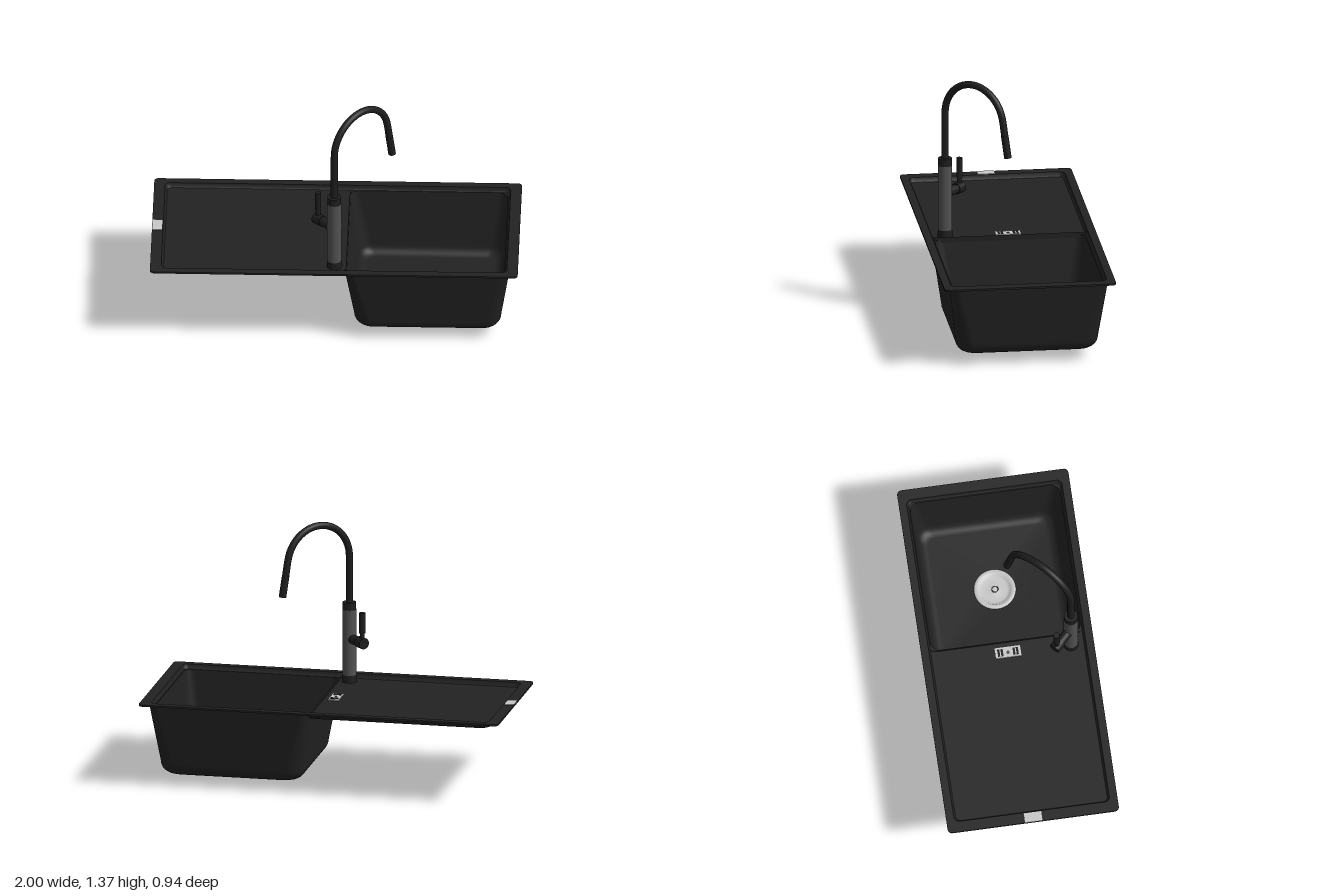
import * as THREE from 'three';

const mat = (name, color) => {
  const m = new THREE.MeshStandardMaterial({ color });
  m.name = name;
  return m;
};

// Rounded rectangle outline, counter-clockwise; a square with full radius gives a circle
function outline(x0, x1, hz, r, n = 8) {
  const pts = [];
  const corners = [[x1 - r, hz - r], [x0 + r, hz - r], [x0 + r, r - hz], [x1 - r, r - hz]];
  corners.forEach(([cx, cy], c) => {
    for (let i = 0; i <= n; i++) {
      const a = (c + i / n) * Math.PI / 2;
      pts.push(new THREE.Vector2(cx + r * Math.cos(a), cy + r * Math.sin(a)));
    }
  });
  return pts;
}

// Skin through sections [x0, x1, halfDepth, radius, y]; top to bottom faces inward, bottom to top outward
function loft(sections) {
  const pos = [], idx = [];
  let n = 0;
  sections.forEach(([x0, x1, hz, r, y]) => {
    const pts = outline(x0, x1, hz, r);
    n = pts.length;
    pts.forEach(p => pos.push(p.x, y, -p.y));
  });
  for (let s = 0; s < sections.length - 1; s++) {
    for (let j = 0; j < n; j++) {
      const a = s * n + j, b = s * n + (j + 1) % n;
      idx.push(a, b, a + n, b, b + n, a + n);
    }
  }
  const g = new THREE.BufferGeometry();
  g.setAttribute('position', new THREE.Float32BufferAttribute(pos, 3));
  g.setIndex(idx);
  g.computeVertexNormals();
  return g;
}

// Flat sheet with a hole, facing up or down
function sheet(outer, hole, y, down = false) {
  const s = new THREE.Shape(outline(...outer));
  s.holes.push(new THREE.Path(outline(...hole)));
  return new THREE.ShapeGeometry(s).rotateX(down ? Math.PI / 2 : -Math.PI / 2).translate(0, y, 0);
}

const DRAIN_X = 0.51;

// Sloping walls, rounded foot and a floor falling to a circle around the drain
function bowlSections(top, foot, fillet, drainR, drainY) {
  const [x0, x1, hz, r, y] = foot;
  const out = [top];
  for (let k = 0; k <= 7; k++) {
    const a = k / 7 * Math.PI / 2, d = fillet * (1 - Math.cos(a));
    out.push([x0 + d, x1 - d, hz - d, r - d * 0.5, y + fillet * (1 - Math.sin(a))]);
  }
  out.push([DRAIN_X - drainR, DRAIN_X + drainR, drainR, drainR, drainY]);
  return out;
}

export function createModel() {
  const black = mat('sink black', 0x222222);
  const tapBlack = mat('tap black', 0x1e1e1e);
  const grey = mat('tap grey', 0x525252);
  const silver = mat('silver', 0xc8c8c8);

  const model = new THREE.Group();
  const add = (name, geo, material, parent = model) => {
    const m = new THREE.Mesh(geo, material);
    m.name = name;
    parent.add(m);
    return m;
  };
  const cyl = (rTop, rBottom, y0, y1, seg = 40) =>
    new THREE.CylinderGeometry(rTop, rBottom, y1 - y0, seg).translate(0, (y0 + y1) / 2, 0);

  // Rim
  const rimShape = new THREE.Shape(outline(-1, 1, 0.47, 0.025));
  rimShape.holes.push(new THREE.Path(outline(-0.94, 0.94, 0.427, 0.03)));
  add('rim', new THREE.ExtrudeGeometry(rimShape, { depth: 0.01, bevelEnabled: false })
    .rotateX(-Math.PI / 2).translate(0, 0.462, 0), black);

  // Shallow tray, upper side
  const bowlTop = [0.065, 0.925, 0.412, 0.05, 0.447];
  const trayFloor = [-0.928, 0.93, 0.416, 0.025];
  add('trayEdge', loft([
    [-0.94, 0.94, 0.427, 0.03, 0.472], [-0.935, 0.937, 0.423, 0.028, 0.453], [...trayFloor, 0.447],
  ]), black);
  add('drainboard', sheet(trayFloor, bowlTop.slice(0, 4), 0.447), black);

  // Tray underside
  const under = [-0.925, 0.07, 0.41, 0.04];
  add('trayUnderEdge', loft([
    [...under, 0.432], [-0.943, 0.07, 0.427, 0.035, 0.441], [-0.955, 0.07, 0.435, 0.03, 0.463],
  ]), black);
  add('trayUnderside', new THREE.ShapeGeometry(new THREE.Shape(outline(...under)))
    .rotateX(Math.PI / 2).translate(0, 0.432, 0), black);

  // Bowl, inside and outside
  add('bowlInside', loft(bowlSections(bowlTop, [0.115, 0.902, 0.38, 0.075, 0.07], 0.055, 0.1, 0.06)), black);
  add('bowlOutside', loft(bowlSections(
    [0.055, 0.955, 0.435, 0.05, 0.463], [0.107, 0.907, 0.39, 0.09, 0.055], 0.07, 0.09, 0.043).reverse()), black);

  // Drain
  const drain = new THREE.Group();
  drain.name = 'drain';
  drain.position.x = DRAIN_X;
  model.add(drain);
  add('drainCup', cyl(0.112, 0.095, 0.025, 0.046), black, drain);
  const strainer = [[0, 0.064], [0.014, 0.064], [0.018, 0.06], [0.018, 0.05], [0.07, 0.05], [0.085, 0.056],
    [0.092, 0.067], [0.108, 0.067], [0.115, 0.06]].map(p => new THREE.Vector2(...p)).reverse();
  const strainerMesh = add('strainer', new THREE.LatheGeometry(strainer, 48), silver, drain);
  strainerMesh.material = silver;
  silver.side = THREE.DoubleSide;
  add('strainerRing', new THREE.TorusGeometry(0.017, 0.0025, 6, 24)
    .rotateX(Math.PI / 2).translate(0, 0.063, 0), grey, drain);
  add('drainPlate', cyl(0.082, 0.08, 0.021, 0.026), silver, drain);
  add('drainBolt', cyl(0.017, 0.015, 0, 0.022, 20), silver, drain);

  // Overflow plate with slots, and the clip on the rim
  add('overflowPlate', new THREE.BoxGeometry(0.06, 0.006, 0.14).translate(0, 0.45, 0), silver);
  for (const s of [-1, 1]) {
    for (const z of [0.033, 0.051]) {
      add('overflowSlot', new THREE.BoxGeometry(0.042, 0.002, 0.012).translate(0, 0.4535, s * z), tapBlack);
    }
  }
  add('overflowScrew', cyl(0.009, 0.009, 0.453, 0.4545, 20), grey);
  add('rimClip', new THREE.BoxGeometry(0.054, 0.003, 0.096).translate(-0.972, 0.4735, 0), silver);

  // Tap, turned so the spout reaches over the bowl
  const tap = new THREE.Group();
  tap.name = 'tap';
  tap.position.z = 0.345;
  tap.rotation.y = Math.PI / 4;
  model.add(tap);
  add('tapBase', cyl(0.039, 0.041, 0.446, 0.488), tapBlack, tap);
  add('tapBody', cyl(0.039, 0.039, 0.488, 0.855), grey, tap);
  add('tapCollar', cyl(0.037, 0.037, 0.855, 0.895), tapBlack, tap);

  // Spout: straight riser, arch, then a slightly splayed spray head
  const R = 0.2, archY = 1.152, sweep = Math.PI * 170 / 180;
  const path = [0.89, 0.98, 1.07].map(y => new THREE.Vector3(0, y, 0));
  for (let i = 0; i <= 16; i++) {
    const a = sweep * i / 16;
    path.push(new THREE.Vector3(R - R * Math.cos(a), archY + R * Math.sin(a), 0));
  }
  const end = path[path.length - 1];
  const dir = new THREE.Vector3(Math.sin(Math.PI / 18), -Math.cos(Math.PI / 18), 0);
  path.push(end.clone().addScaledVector(dir, 0.09));
  add('spout', new THREE.TubeGeometry(new THREE.CatmullRomCurve3(path), 90, 0.0195, 20), tapBlack, tap);
  const head = add('sprayHead', cyl(0.0205, 0.0205, -0.207, -0.085, 28), tapBlack, tap);
  head.position.copy(end);
  head.rotation.z = Math.PI / 18;

  // Side handle with upright lever
  const handle = new THREE.Group();
  handle.name = 'handle';
  handle.position.y = 0.692;
  tap.add(handle);
  add('handleStem', cyl(0.026, 0.026, 0.02, 0.1, 28).rotateX(-Math.PI / 2), tapBlack, handle);
  add('handleKnob', cyl(0.031, 0.031, 0.095, 0.148, 32).rotateX(-Math.PI / 2), tapBlack, handle);
  add('leverNeck', cyl(0.012, 0.014, 0.02, 0.06, 20).translate(0, 0, -0.128), tapBlack, handle);
  add('lever', cyl(0.017, 0.017, 0.055, 0.17, 24).translate(0, 0, -0.128), tapBlack, handle);

  return model;
}
